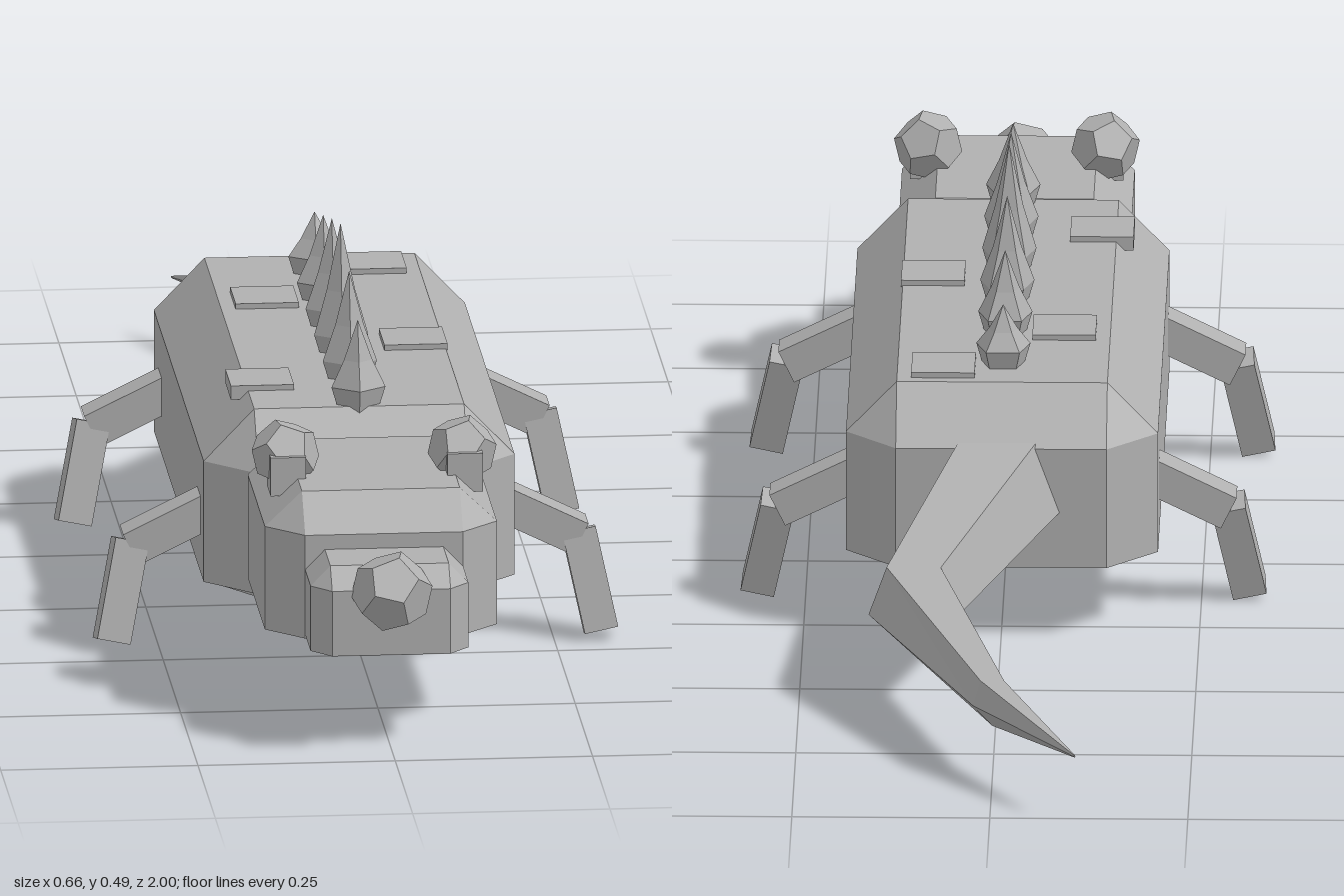
import * as THREE from 'three';

const hide = new THREE.MeshStandardMaterial({ color: 0xb0b0b0, flatShading: true, side: THREE.DoubleSide });
hide.name = 'grey hide';

function add(group, name, geometry, x = 0, y = 0, z = 0) {
  const mesh = new THREE.Mesh(geometry, hide);
  mesh.name = name;
  mesh.position.set(x, y, z);
  group.add(mesh);
  return mesh;
}

// Skin a list of rings (arrays of [x, y, z]) and close the last one
function loft(rings) {
  const n = rings[0].length, index = [];
  for (let r = 0; r < rings.length - 1; r++) {
    for (let i = 0; i < n; i++) {
      const a = r * n + i, b = r * n + (i + 1) % n;
      index.push(a, b, b + n, a, b + n, a + n);
    }
  }
  const last = (rings.length - 1) * n;
  for (let i = 1; i < n - 1; i++) index.push(last, last + i, last + i + 1);
  const geo = new THREE.BufferGeometry();
  geo.setAttribute('position', new THREE.Float32BufferAttribute(rings.flat(2), 3));
  geo.setIndex(index);
  const flat = geo.toNonIndexed();
  flat.computeVertexNormals();
  return flat;
}

// Box outline with cut corners; w, wi are the outer and cut half widths
function octagon(w, wi, zBack, zFront, cut, y) {
  return [[w, y, zFront - cut], [w, y, zBack + cut], [wi, y, zBack], [-wi, y, zBack],
    [-w, y, zBack + cut], [-w, y, zFront - cut], [-wi, y, zFront], [wi, y, zFront]];
}

// The same outline shrunk to the flat rectangle on top of the bevel
function topRect(wi, zBack, zFront, cut, y) {
  const b = zBack + cut, f = zFront - cut;
  return [[wi, y, f], [wi, y, b], [wi, y, b], [-wi, y, b],
    [-wi, y, b], [-wi, y, f], [-wi, y, f], [wi, y, f]];
}

// Hollow bevelled shell, open underneath
function shell(w, wi, zBack, zFront, cut, y0, yBevel, y1, lip = []) {
  return loft([...lip,
    octagon(w, wi, zBack, zFront, cut, y0),
    octagon(w, wi, zBack, zFront, cut, yBevel),
    topRect(wi, zBack, zFront, cut, y1)]);
}

// Square bar running from p to q
function beam(p, q, width, depth) {
  const a = new THREE.Vector3(...p), b = new THREE.Vector3(...q);
  const dir = b.clone().sub(a), length = dir.length();
  const yAxis = dir.normalize();
  const xAxis = new THREE.Vector3().crossVectors(yAxis, new THREE.Vector3(0, 0, 1)).normalize();
  const zAxis = new THREE.Vector3().crossVectors(xAxis, yAxis);
  const mid = a.add(b).multiplyScalar(0.5);
  const m = new THREE.Matrix4().makeBasis(xAxis, yAxis, zAxis).setPosition(mid);
  return new THREE.BoxGeometry(width, length, depth).applyMatrix4(m);
}

export function createModel() {
  const model = new THREE.Group();
  model.name = 'reptile';

  // Body with a narrow lip around its open belly
  const lip = [0.08, 0.097].map((y) => octagon(0.17, 0.135, -0.235, 0.49, 0.05, y));
  add(model, 'body', shell(0.197, 0.133, -0.3, 0.545, 0.065, 0.097, 0.255, 0.322, lip));

  // Head and snout
  add(model, 'head', shell(0.147, 0.1, 0.5, 0.84, 0.047, 0.12, 0.255, 0.3));
  add(model, 'snout', shell(0.1, 0.075, 0.8, 0.945, 0.028, 0.125, 0.21, 0.236));
  const nose = add(model, 'nose', new THREE.DodecahedronGeometry(0.052), 0, 0.21, 0.95);
  nose.rotation.set(0.4, 0.3, 0.2);

  // Eyes on short stalks
  for (const side of [-1, 1]) {
    add(model, 'eyeStalk', new THREE.BoxGeometry(0.045, 0.05, 0.05), side * 0.112, 0.303, 0.71);
    const eye = add(model, 'eye', new THREE.DodecahedronGeometry(0.044), side * 0.112, 0.322, 0.69);
    eye.rotation.set(0.4, side * 0.3, side * 0.2);
  }

  // Row of back spikes, tallest in the third place
  [0.43, 0.46, 0.488, 0.46, 0.43, 0.4].forEach((top, i) => {
    const h = top - 0.31;
    const profile = [[0.025, 0], [0.036, 0.035], [0.019, 0.035 + (h - 0.035) * 0.4], [0, h]];
    const geo = new THREE.LatheGeometry(profile.map((p) => new THREE.Vector2(...p)), 5);
    add(model, 'backSpike', geo, 0, 0.31, 0.46 - i * 0.124);
  });

  // Loose scales lying on the back
  for (const [x, z] of [[-0.115, 0.355], [0.095, 0.18], [-0.075, -0.03], [0.075, -0.18]]) {
    add(model, 'backScale', new THREE.BoxGeometry(0.08, 0.018, 0.08), x, 0.32, z);
  }

  // Bent legs
  for (const side of [-1, 1]) {
    for (const [name, z] of [['frontLeg', 0.41], ['rearLeg', -0.15]]) {
      const leg = new THREE.Group();
      leg.name = name;
      add(leg, 'thigh', beam([side * 0.165, 0.187, z], [side * 0.285, 0.128, z], 0.045, 0.048));
      add(leg, 'shin', beam([side * 0.284, 0.135, z], [side * 0.31, 0.011, z + 0.03], 0.043, 0.045));
      model.add(leg);
    }
  }

  // Curved tail: centre x, half width, bottom, top, z
  const section = [[-0.6, 1], [0.6, 1], [1, -0.1], [0, -1], [-1, -0.1]];
  const stations = [[0, 0.083, 0.1, 0.265, -0.28], [0.105, 0.057, 0.07, 0.185, -0.56],
    [0, 0.025, 0.07, 0.13, -0.84], [-0.107, 0.001, 0.083, 0.086, -1]];
  add(model, 'tail', loft(stations.map(([cx, w, y0, y1, z]) => section.map(([sx, sy]) =>
    [cx + sx * w, (y0 + y1) / 2 + sy * (y1 - y0) / 2, z]))));

  return model;
}
